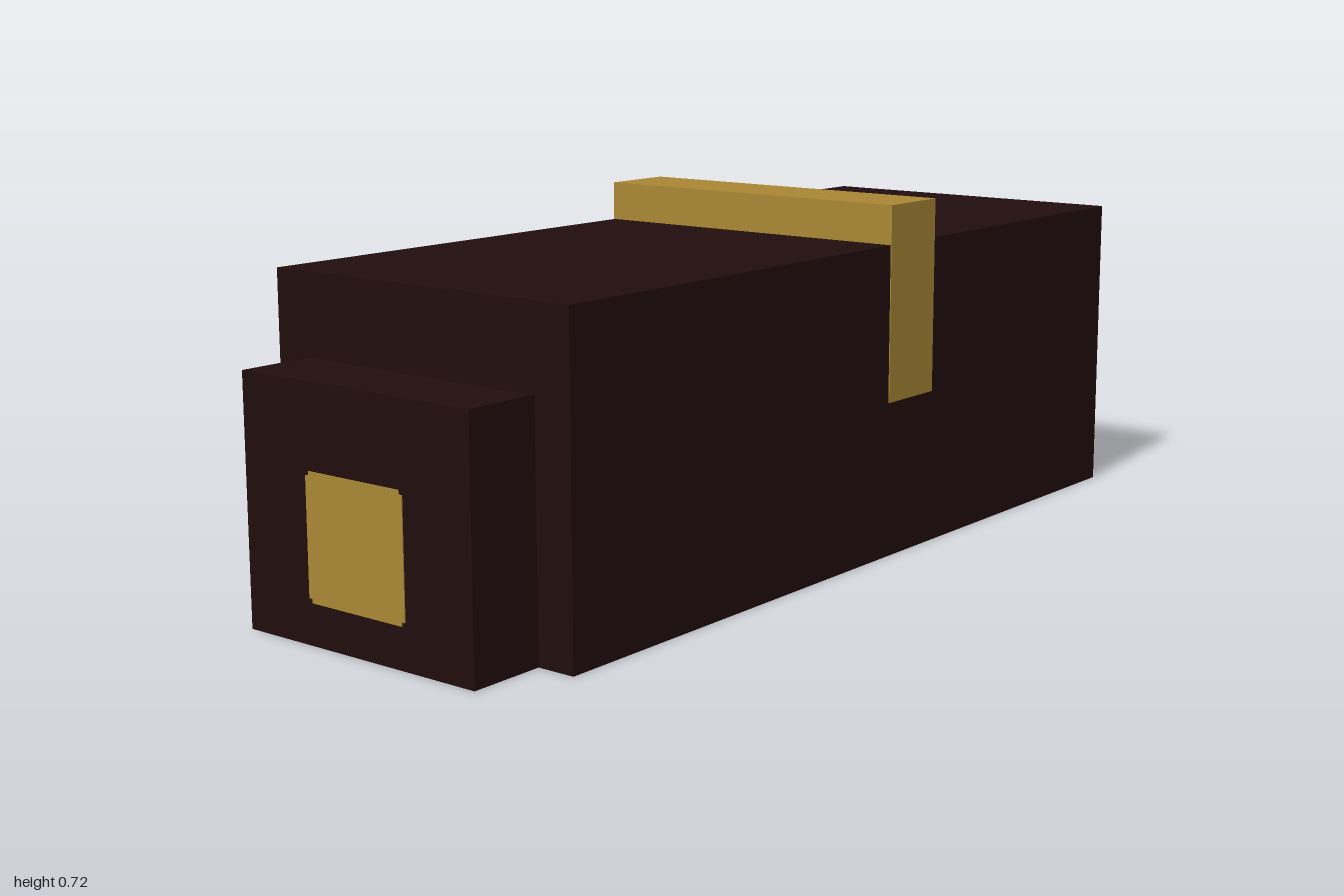
import * as THREE from 'three';

const dark = new THREE.MeshStandardMaterial({ color: 0x210d0d });
dark.name = 'dark brown';
const gold = new THREE.MeshStandardMaterial({ color: 0xaa8734 });
gold.name = 'gold';

// Box given by its minimum and maximum corners
function box(name, material, min, max) {
  const size = max.map((v, i) => v - min[i]);
  const mesh = new THREE.Mesh(new THREE.BoxGeometry(...size), material);
  mesh.position.set(...min.map((v, i) => (v + max[i]) / 2));
  mesh.name = name;
  return mesh;
}

export function createModel() {
  const model = new THREE.Group();
  model.name = 'block';

  // Long body with a smaller block stepped out at the front
  model.add(box('body', dark, [-0.36, 0, -1], [0.36, 0.64, 0.84]));
  model.add(box('frontBlock', dark, [-0.28, 0, 0.84], [0.28, 0.48, 0.998]));

  // Gold strap: a raised bar over the top and a thin plate down each side
  const strap = new THREE.Group();
  strap.name = 'strap';
  strap.add(box('strapTop', gold, [-0.362, 0.64, -0.28], [0.362, 0.72, -0.12]));
  for (const [name, s] of [['strapLeft', 1], ['strapRight', -1]]) {
    const x = [s * 0.358, s * 0.362].sort((a, b) => a - b);
    strap.add(box(name, gold, [x[0], 0.32, -0.28], [x[1], 0.64, -0.12]));
  }
  model.add(strap);

  // Front plate: a square with a small notch at each corner
  const r = 0.12, n = 0.112;
  const outline = new THREE.Shape([
    [n, -r], [n, -n], [r, -n], [r, n], [n, n], [n, r],
    [-n, r], [-n, n], [-r, n], [-r, -n], [-n, -n], [-n, -r],
  ].map(([x, y]) => new THREE.Vector2(x, y)));
  const plate = new THREE.Mesh(
    new THREE.ExtrudeGeometry(outline, { depth: 0.004, bevelEnabled: false }), gold);
  plate.position.set(0, 0.2, 0.996);
  plate.name = 'frontPlate';
  model.add(plate);

  return model;
}
